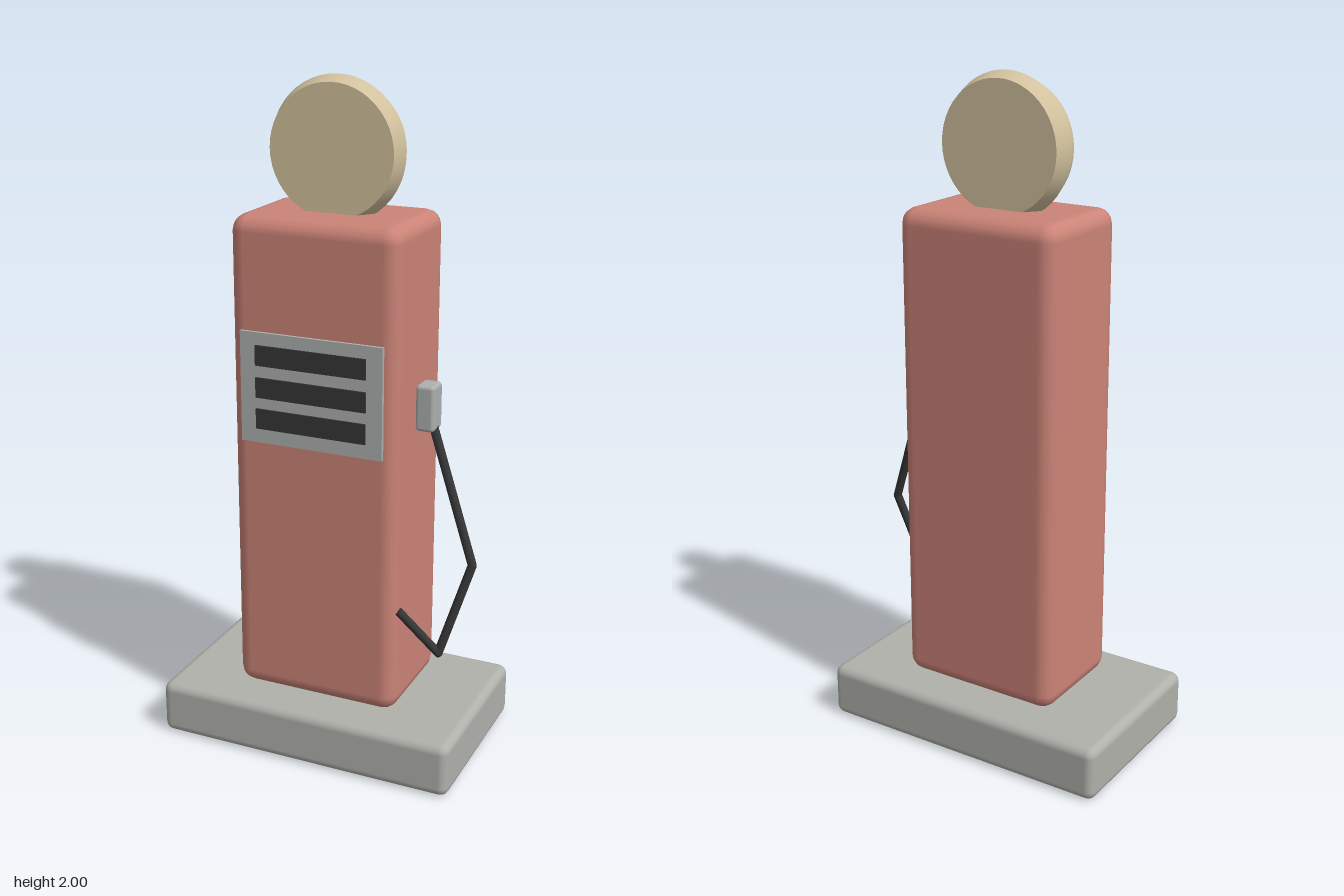
import * as THREE from 'three';
import { RoundedBoxGeometry } from 'three/addons/geometries/RoundedBoxGeometry.js';

const mat = (name, color) => Object.assign(new THREE.MeshStandardMaterial({ color }), { name });

export function createModel() {
  const group = new THREE.Group();
  const red = mat('faded red', 0xcb8377);
  const concrete = mat('concrete grey', 0xb0b1ab);
  const metal = mat('metal grey', 0xadb0af);
  const cream = mat('cream', 0xd3c29e);
  const black = mat('rubber black', 0x363636);

  const add = (name, geometry, material, x = 0, y = 0, z = 0, parent = group) => {
    const mesh = new THREE.Mesh(geometry, material);
    mesh.name = name;
    mesh.position.set(x, y, z);
    parent.add(mesh);
    return mesh;
  };

  // Plinth and cabinet
  add('base', new RoundedBoxGeometry(0.935, 0.166, 0.56, 2, 0.028), concrete, 0, 0.086, 0);
  add('cabinet', new RoundedBoxGeometry(0.516, 1.452, 0.355, 2, 0.048), red, 0, 0.899, 0);

  // Round sign on top: bulging rim with flat faces
  const sign = new THREE.Group();
  sign.name = 'topSign';
  sign.position.y = 1.795;
  group.add(sign);
  const rimProfile = [[0.187, -0.046], [0.205, 0], [0.187, 0.046]].map(([r, h]) => new THREE.Vector2(r, h));
  add('signRim', new THREE.LatheGeometry(rimProfile, 48), cream, 0, 0, 0, sign).rotation.x = Math.PI / 2;
  for (const side of [1, -1]) {
    const face = add('signFace', new THREE.CircleGeometry(0.187, 48), cream, 0, 0, side * 0.046, sign);
    if (side < 0) face.rotation.y = Math.PI;
  }

  // Display panel with three dark readout strips
  add('displayPanel', new THREE.BoxGeometry(0.437, 0.328, 0.014), metal, 0, 1.136, 0.18);
  for (const y of [1.233, 1.138, 1.045]) {
    add('readout', new THREE.BoxGeometry(0.34, 0.06, 0.008), black, 0, y, 0.188);
  }

  // Nozzle holder on the left side
  add('nozzleHolder', new RoundedBoxGeometry(0.058, 0.138, 0.072, 2, 0.012), metal, 0.284, 1.087, 0);

  // Hose: straight runs with small joints at the bends
  const hose = new THREE.Group();
  hose.name = 'hose';
  group.add(hose);
  const radius = 0.013;
  const points = [[0.3, 1.03, 0], [0.445, 0.64, 0.045], [0.366, 0.366, 0.096], [0.258, 0.5, 0.143]]
    .map((p) => new THREE.Vector3(...p));
  for (let i = 0; i < points.length - 1; i++) {
    const dir = points[i + 1].clone().sub(points[i]);
    const mid = points[i].clone().addScaledVector(dir, 0.5);
    const run = add('hoseRun', new THREE.CylinderGeometry(radius, radius, dir.length(), 10), black, ...mid.toArray(), hose);
    run.quaternion.setFromUnitVectors(new THREE.Vector3(0, 1, 0), dir.normalize());
    if (i > 0) add('hoseJoint', new THREE.SphereGeometry(radius, 10, 8), black, ...points[i].toArray(), hose);
  }

  return group;
}
